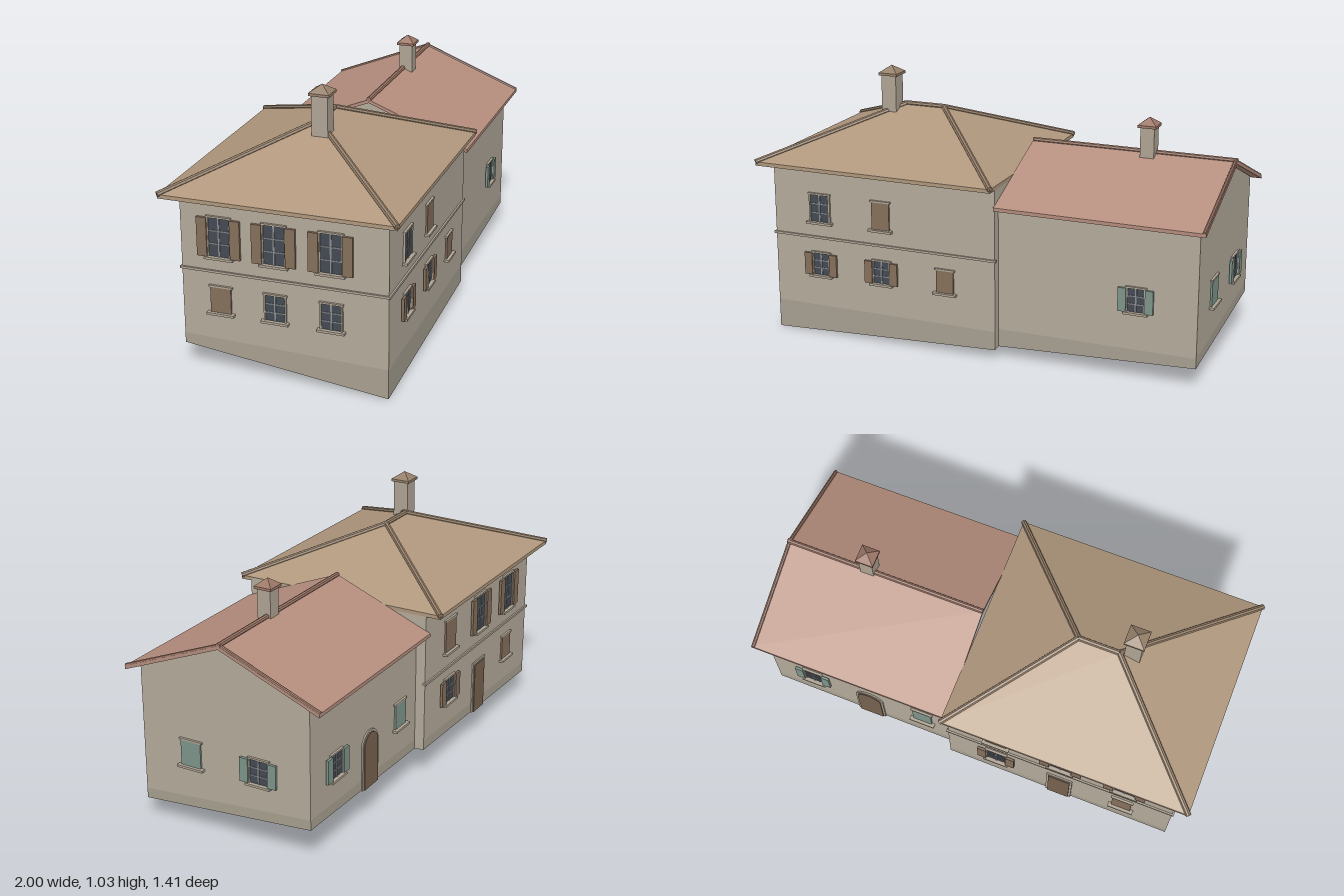
import * as THREE from 'three';

const mat = (color, side = THREE.FrontSide) =>
  new THREE.MeshStandardMaterial({ color, side, flatShading: true });
const M = {
  wall: mat(0xb5ab9c, THREE.DoubleSide), plinth: mat(0xa8a091, THREE.DoubleSide),
  roof: mat(0xb0977d), wingRoof: mat(0xb58e7e), ridge: mat(0x96806a), wingRidge: mat(0x9c7666),
  stone: mat(0xb0a595), glass: mat(0x444a54), bars: mat(0x8d8f90),
  brown: mat(0x86705c), green: mat(0x7f968b), door: mat(0x776250),
};

// Main block and wing extents in the house's own frame
const X0 = -0.836, X1 = 0.106, X2 = 0.888;
const MB = -0.41, MF = 0.375, WB = -0.37, WF = 0.34, MID = -0.022;

// Sloping ground line under the walls
function ground(x, z) {
  const front = 0.005 + 0.043 * (x - X0), back = 0.1 + 0.026 * (x - X0);
  return THREE.MathUtils.lerp(back, front, (z - MB) / (MF - MB));
}

function add(parent, name, geo, material, x = 0, y = 0, z = 0) {
  const m = new THREE.Mesh(geo, material);
  m.name = name;
  m.position.set(x, y, z);
  parent.add(m);
  return m;
}

const box = (parent, name, w, h, d, material, x, y, z) =>
  add(parent, name, new THREE.BoxGeometry(w, h, d), material, x, y, z);

// Flat convex polygon, optionally given thickness downwards
function slab(points, t = 0) {
  const n = points.length, pos = [];
  const low = points.map(([x, y, z]) => [x, y - t, z]);
  for (let i = 1; i < n - 1; i++) {
    pos.push(...points[0], ...points[i], ...points[i + 1]);
    if (t) pos.push(...low[0], ...low[i + 1], ...low[i]);
  }
  if (t) for (let i = 0; i < n; i++) {
    const j = (i + 1) % n;
    pos.push(...points[i], ...low[i], ...low[j], ...points[i], ...low[j], ...points[j]);
  }
  const g = new THREE.BufferGeometry();
  g.setAttribute('position', new THREE.Float32BufferAttribute(pos, 3));
  g.computeVertexNormals();
  return g;
}

// Round tile row between two points
function tileRow(parent, name, a, b, material, r = 0.011) {
  const p = new THREE.Vector3(...a), q = new THREE.Vector3(...b);
  const m = add(parent, name, new THREE.CylinderGeometry(r, r, p.distanceTo(q), 8), material);
  m.position.copy(p).lerp(q, 0.5);
  m.quaternion.setFromUnitVectors(new THREE.Vector3(0, 1, 0), q.sub(p).normalize());
}

// Wall with a plinth strip that follows the ground
function wall(parent, name, [ax, az], [bx, bz], top, peak) {
  const ga = ground(ax, az), gb = ground(bx, bz);
  const pa = Math.max(0.12, ga + 0.04), pb = Math.max(0.12, gb + 0.04);
  add(parent, name + 'Plinth', slab([[ax, ga, az], [bx, gb, bz], [bx, pb, bz], [ax, pa, az]]), M.plinth);
  const pts = [[ax, pa, az], [bx, pb, bz], [bx, top, bz]];
  if (peak) pts.push([ax, peak, MID]);
  pts.push([ax, top, az]);
  add(parent, name, slab(pts), M.wall);
}

const SIDES = { front: 0, right: Math.PI / 2, back: Math.PI, left: -Math.PI / 2 };

function openingGroup(parent, name, side, x, y, z) {
  const g = new THREE.Group();
  g.name = name;
  g.position.set(x, y, z);
  g.rotation.y = SIDES[side];
  parent.add(g);
  return g;
}

// Window: glazed with open shutters, or covered by a closed shutter
function windowUnit(parent, side, x, y, z, w, h, color, closed, shutters = true) {
  const g = openingGroup(parent, closed ? 'closedWindow' : 'window', side, x, y, z);
  box(g, 'sill', w + 0.025, 0.009, 0.034, M.stone, 0, -h / 2 - 0.004, 0.002);
  box(g, 'lintel', w + 0.012, 0.007, 0.018, M.stone, 0, h / 2 + 0.003, 0);
  if (closed) {
    box(g, 'closedShutter', w, h, 0.014, color, 0, 0, 0);
    return;
  }
  box(g, 'glass', w, h, 0.008, M.glass, 0, 0, 0);
  box(g, 'mullion', 0.006, h, 0.014, M.bars, 0, 0, 0);
  for (const s of [-1, 1]) {
    box(g, 'glazingBar', w, 0.004, 0.012, M.bars, 0, s * h / 6, 0);
    box(g, 'jamb', 0.006, h, 0.016, M.stone, s * w / 2, 0, 0);
    if (shutters) box(g, 'shutter', w * 0.45, h, 0.01, color, s * w * 0.75, 0, 0.009);
  }
}

// Door leaf with a frame, square or arched at the top
function door(parent, x, z, w, h, arched) {
  const g = openingGroup(parent, arched ? 'archedDoor' : 'door', 'back', x, ground(x, z), z);
  const leaf = (name, w, h, d, material) => {
    const s = new THREE.Shape(), r = w / 2;
    s.moveTo(-r, 0);
    s.lineTo(r, 0);
    if (arched) s.absarc(0, h - r, r, 0, Math.PI);
    else s.lineTo(r, h).lineTo(-r, h);
    s.closePath();
    add(g, name, new THREE.ExtrudeGeometry(s, { depth: d, bevelEnabled: false, curveSegments: 10 }),
      material, 0, 0, -d / 2);
  };
  leaf('doorFrame', w + 0.018, h + 0.009, 0.012, M.stone);
  leaf('doorLeaf', w, h, 0.02, M.door);
}

function chimney(parent, name, x, z, y0, y1, s, cap, material) {
  const g = openingGroup(parent, name, 'front', x, 0, z);
  box(g, 'chimneyShaft', s, y1 - y0, s, M.stone, 0, (y0 + y1) / 2, 0);
  box(g, 'chimneySlab', cap, 0.01, cap, material, 0, y1 + 0.003, 0);
  const p = add(g, 'chimneyCap', new THREE.ConeGeometry(cap / Math.SQRT2, 0.028, 4), material, 0, y1 + 0.022, 0);
  p.rotation.y = Math.PI / 4;
}

function mainBlock() {
  const g = new THREE.Group();
  g.name = 'mainBlock';
  const top = 0.695;
  wall(g, 'frontWall', [X0, MF], [X1, MF], top);
  wall(g, 'leftWall', [X0, MB], [X0, MF], top);
  wall(g, 'backWall', [X1, MB], [X0, MB], top);

  // Parts of the right wall left showing around the wing
  for (const [zo, zi, zt] of [[MF, WF, 0.17], [MB, WB, -0.21]]) {
    add(g, 'rightWallStrip', slab([[X1, ground(X1, zo), zo], [X1, ground(X1, zi), zi], [X1, top, zi], [X1, top, zo]]), M.wall);
    add(g, 'rightWallCorner', slab([[X1, 0.61, zi], [X1, top, zt], [X1, top, zi]]), M.wall);
  }

  // String course between the floors
  const cx = (X0 + X1) / 2, cz = (MB + MF) / 2;
  for (const z of [MB, MF]) box(g, 'stringCourse', X1 - X0 + 0.012, 0.009, 0.014, M.stone, cx, 0.405, z);
  box(g, 'stringCourse', 0.014, 0.009, MF - MB + 0.012, M.stone, X0, 0.405, cz);

  // Hipped roof
  const e = 0.698, r = 0.877;
  const FL = [-0.891, e, 0.42], FR = [0.106, e, 0.42], BR = [0.106, e, -0.47], BL = [-0.891, e, -0.47];
  const RL = [-0.446, r, -0.025], RR = [-0.283, r, -0.025];
  for (const p of [[FL, FR, RR, RL], [FR, BR, RR], [BR, BL, RL, RR], [BL, FL, RL]])
    add(g, 'roofSlope', slab(p, 0.015), M.roof);
  for (const [a, b] of [[FL, RL], [BL, RL], [FR, RR], [BR, RR], [RL, RR]])
    tileRow(g, 'ridgeTiles', a, b, M.ridge);
  chimney(g, 'mainChimney', -0.495, 0.007, 0.8, 1.0, 0.063, 0.08, M.ridge);

  // Openings on the three free sides
  const cols = [-0.635, -0.37, -0.1];
  windowUnit(g, 'front', cols[0], 0.525, MF, 0.085, 0.11, M.brown, false, false);
  windowUnit(g, 'front', cols[1], 0.525, MF, 0.075, 0.11, M.brown, true);
  cols.forEach((x, i) => windowUnit(g, 'front', x, 0.295, MF, 0.072, 0.09, M.brown, i === 2));
  [-0.26, -0.05, 0.163].forEach((z, i) => {
    windowUnit(g, 'left', X0, 0.54, z, 0.085, 0.15, M.brown, false);
    windowUnit(g, 'left', X0, 0.295, z, 0.08, 0.1, M.brown, i === 0, false);
  });
  cols.forEach((x, i) => windowUnit(g, 'back', x, 0.54, MB, 0.088, i === 2 ? 0.13 : 0.15, M.brown, i === 2));
  windowUnit(g, 'back', cols[0], 0.295, MB, 0.08, 0.1, M.brown, true);
  windowUnit(g, 'back', cols[2], 0.305, MB, 0.08, 0.1, M.brown, false);
  door(g, cols[1], MB, 0.09, 0.21, false);
  return g;
}

function wing() {
  const g = new THREE.Group();
  g.name = 'wing';
  wall(g, 'wingFrontWall', [X1, WF], [X2, WF], 0.626);
  wall(g, 'wingGableWall', [X2, WF], [X2, WB], 0.626, 0.768);
  wall(g, 'wingBackWall', [X2, WB], [X1, WB], 0.626);

  // Gabled roof with tile rows on the ridge and verges
  const a = 0.104, b = 0.92, e = 0.619, r = 0.782;
  const RL = [a, r, MID], RR = [b, r, MID];
  for (const [z, flip] of [[0.387, false], [-0.428, true]]) {
    const L = [a, e, z], R = [b, e, z];
    add(g, 'wingRoofSlope', slab(flip ? [R, L, RL, RR] : [L, R, RR, RL], 0.014), M.wingRoof);
    tileRow(g, 'vergeTiles', [b - 0.008, e, z], [b - 0.008, r, MID], M.wingRidge, 0.007);
  }
  tileRow(g, 'wingRidgeTiles', RL, RR, M.wingRidge, 0.01);
  chimney(g, 'wingChimney', 0.579, -0.01, 0.72, 0.885, 0.055, 0.072, M.wingRidge);

  // Openings
  windowUnit(g, 'front', 0.654, 0.317, WF, 0.07, 0.092, M.green, false);
  windowUnit(g, 'right', X2, 0.317, 0.13, 0.085, 0.1, M.green, true);
  windowUnit(g, 'right', X2, 0.317, -0.16, 0.078, 0.094, M.green, false);
  windowUnit(g, 'back', 0.715, 0.325, WB, 0.075, 0.095, M.green, false);
  windowUnit(g, 'back', 0.237, 0.325, WB, 0.08, 0.1, M.green, true);
  door(g, 0.47, WB, 0.1, 0.22, true);
  return g;
}

export function createModel() {
  const house = new THREE.Group();
  house.name = 'house';
  house.rotation.y = 0.337;
  house.add(mainBlock(), wing());
  const model = new THREE.Group();
  model.name = 'farmhouse';
  model.add(house);
  return model;
}
